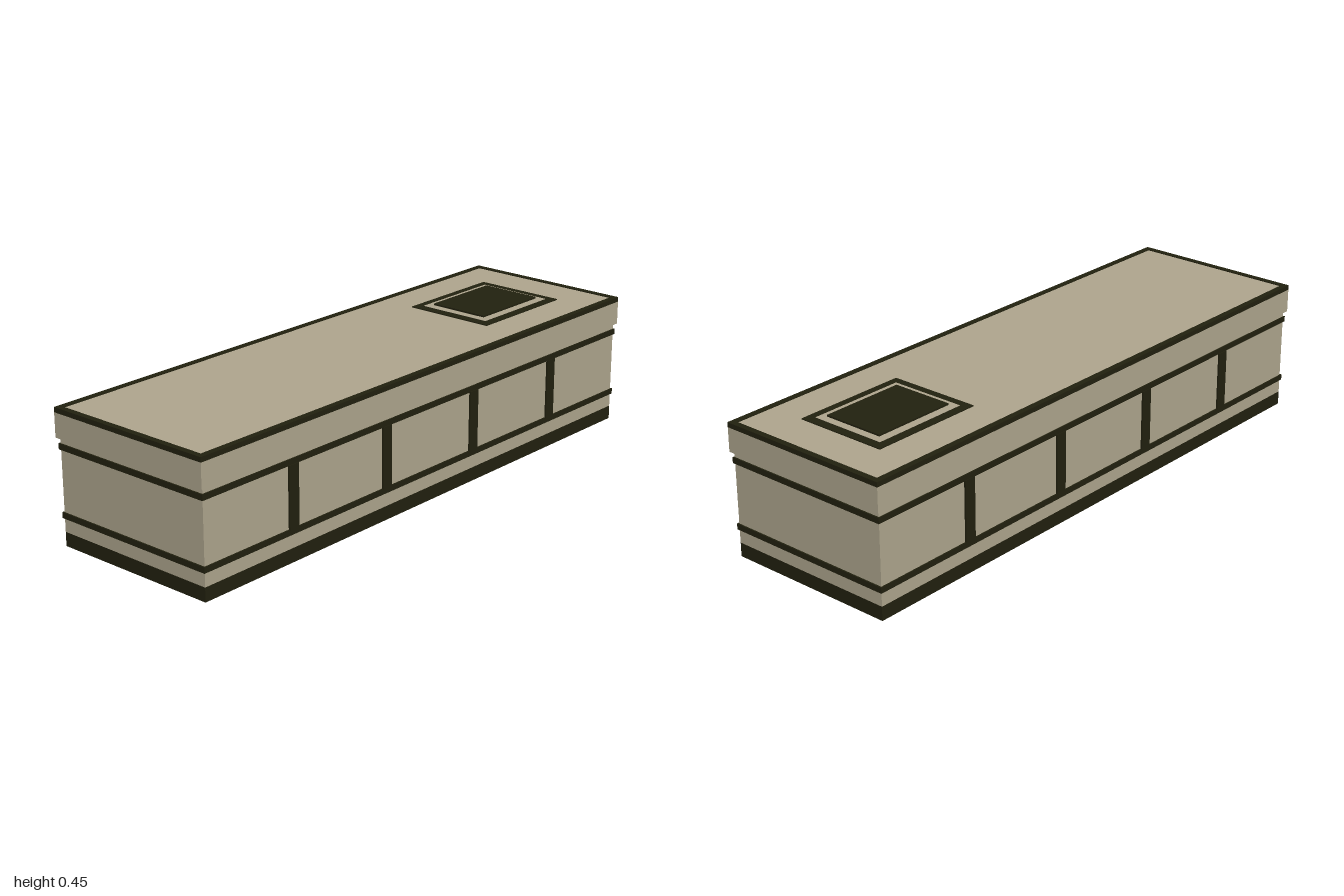
import * as THREE from 'three';

const tan = new THREE.MeshStandardMaterial({ color: 0xb0a78f });
tan.name = 'tan panel';
const dark = new THREE.MeshStandardMaterial({ color: 0x22210f });
dark.name = 'dark trim';

// Box spanning y0..y1, centred on (x, z)
function slab(name, material, width, depth, y0, y1, x = 0, z = 0) {
  const mesh = new THREE.Mesh(new THREE.BoxGeometry(width, y1 - y0, depth), material);
  mesh.name = name;
  mesh.position.set(x, (y0 + y1) / 2, z);
  return mesh;
}

// Flat rectangular ring lying in the ground plane, spanning y0..y1
function frame(name, material, width, depth, border, y0, y1, x = 0) {
  const rect = (target, w, d) => {
    target.moveTo(-w, -d);
    target.lineTo(w, -d);
    target.lineTo(w, d);
    target.lineTo(-w, d);
    target.closePath();
    return target;
  };
  const shape = rect(new THREE.Shape(), width / 2, depth / 2);
  shape.holes.push(rect(new THREE.Path(), width / 2 - border, depth / 2 - border));
  const geometry = new THREE.ExtrudeGeometry(shape, { depth: y1 - y0, bevelEnabled: false });
  geometry.rotateX(-Math.PI / 2);
  const mesh = new THREE.Mesh(geometry, material);
  mesh.name = name;
  mesh.position.set(x, y0, 0);
  return mesh;
}

export function createModel() {
  const model = new THREE.Group();
  model.name = 'longBox';

  // Body on its dark base
  model.add(slab('base', dark, 1.978, 0.588, 0, 0.046));
  model.add(slab('body', tan, 1.978, 0.588, 0.046, 0.346));

  // Horizontal bands around the body
  model.add(frame('lowerBand', dark, 1.988, 0.597, 0.012, 0.091, 0.11));
  model.add(frame('upperBand', dark, 1.988, 0.597, 0.012, 0.309, 0.328));

  // Upright strips on both long sides
  for (const side of [-1, 1]) {
    for (const x of [-0.628, -0.214, 0.21, 0.622]) {
      model.add(slab('uprightStrip', dark, 0.04, 0.008, 0.107, 0.31, x, side * 0.296));
    }
  }

  // Overhanging lid with a dark rim round its top
  model.add(slab('lid', tan, 2, 0.606, 0.346, 0.425));
  model.add(slab('lidPanel', tan, 1.97, 0.576, 0.425, 0.438));
  model.add(frame('lidRim', dark, 2, 0.606, 0.02, 0.425, 0.441));

  // Stepped hatch near one end
  const hatch = new THREE.Group();
  hatch.name = 'hatch';
  hatch.add(frame('hatchFrame', dark, 0.394, 0.318, 0.029, 0.43, 0.441, 0.646));
  hatch.add(slab('hatchStep', dark, 0.336, 0.262, 0.43, 0.442, 0.646));
  hatch.add(slab('hatchInlay', tan, 0.336, 0.262, 0.442, 0.4428, 0.646));
  hatch.add(slab('hatchCover', dark, 0.29, 0.212, 0.4445, 0.45, 0.646));
  model.add(hatch);

  return model;
}
